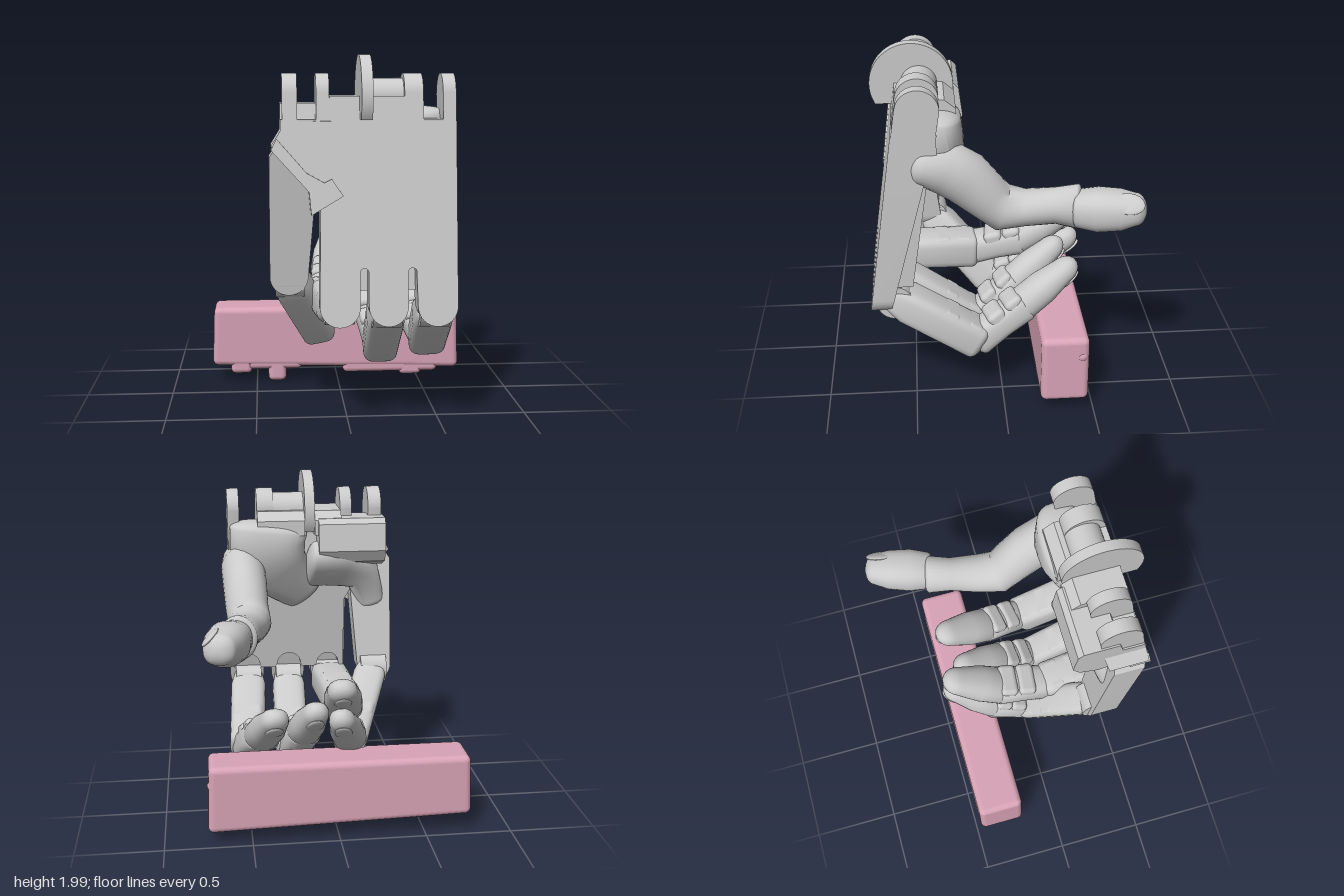
import * as THREE from 'three';
import { toCreasedNormals } from 'three/addons/utils/BufferGeometryUtils.js';
import { RoundedBoxGeometry } from 'three/addons/geometries/RoundedBoxGeometry.js';

const grey = new THREE.MeshStandardMaterial({ color: 0xcccccc });
const pink = new THREE.MeshStandardMaterial({ color: 0xd8a3b6 });
const V = (p) => new THREE.Vector3(p[0], p[1], p[2]);

export function createModel() {
  const model = new THREE.Group();
  const add = (name, geo, mat = grey, parent = model) => {
    const mesh = new THREE.Mesh(geo, mat);
    mesh.name = name;
    parent.add(mesh);
    return mesh;
  };

  // Side, normal and tangent directions for a limb running from a to b
  const frame = (a, b) => {
    const t = b.clone().sub(a).normalize();
    const s = new THREE.Vector3(1, 0, 0).addScaledVector(t, -t.x).normalize();
    return { s, n: t.clone().cross(s), t };
  };

  // Loft through stations [x, y, z, half width, half height] with domed ends
  function limb(stations, power = 2, dome0 = 0.05, dome1 = 0.05, sides = 28) {
    const rings = [];
    const last = stations.length - 1;
    const ring = (i, shift, scale) => {
      const f = frame(V(stations[Math.max(i - 1, 0)]), V(stations[Math.min(i + 1, last)]));
      rings.push({ c: V(stations[i]).addScaledVector(f.t, shift), f, w: stations[i][3] * scale, h: stations[i][4] * scale });
    };
    const steps = 6;
    for (let k = steps; k > 0; k--) ring(0, -dome0 * Math.sin(k * Math.PI / 2 / steps), Math.cos(k * Math.PI / 2 / steps) + 1e-4);
    for (let i = 0; i <= last; i++) ring(i, 0, 1);
    for (let k = 1; k <= steps; k++) ring(last, dome1 * Math.sin(k * Math.PI / 2 / steps), Math.cos(k * Math.PI / 2 / steps) + 1e-4);
    const pos = [], idx = [];
    const bend = (v) => Math.sign(v) * Math.abs(v) ** (2 / power);
    rings.forEach(({ c, f, w, h }, i) => {
      for (let j = 0; j < sides; j++) {
        const q = (j / sides) * Math.PI * 2;
        const p = c.clone().addScaledVector(f.s, w * bend(Math.cos(q))).addScaledVector(f.n, h * bend(Math.sin(q)));
        pos.push(p.x, p.y, p.z);
        if (i === rings.length - 1) continue;
        const a = i * sides + j, b = i * sides + (j + 1) % sides;
        idx.push(a, b, a + sides, b, b + sides, a + sides);
      }
    });
    const geo = new THREE.BufferGeometry();
    geo.setAttribute('position', new THREE.Float32BufferAttribute(pos, 3));
    geo.setIndex(idx);
    return toCreasedNormals(geo, 0.7);
  }

  // Front outline given depth between two z values that vary with height
  function slab(shape, front, back) {
    const geo = new THREE.ExtrudeGeometry(shape, { depth: 1, bevelEnabled: false, curveSegments: 16 });
    const p = geo.attributes.position;
    for (let i = 0; i < p.count; i++) {
      const y = p.getY(i);
      p.setZ(i, back(y) + p.getZ(i) * (front(y) - back(y)));
    }
    return toCreasedNormals(geo, 0.5);
  }

  // Side outline (z, y) extruded between two x values
  function sideways(shape, x0, x1) {
    const geo = new THREE.ExtrudeGeometry(shape, { depth: x1 - x0, bevelEnabled: false, curveSegments: 24 });
    geo.rotateY(-Math.PI / 2).translate(x1, 0, 0);
    return toCreasedNormals(geo, 0.5);
  }
  const poly = (pts) => new THREE.Shape(pts.map((p) => new THREE.Vector2(...p)));
  const axle = (r, x0, x1, y, z) =>
    new THREE.CylinderGeometry(r, r, x1 - x0, 32).rotateZ(Math.PI / 2).translate((x0 + x1) / 2, y, z);

  // Back plate with three knuckle lobes separated by slots
  const plate = new THREE.Shape();
  plate.moveTo(-0.16, 0.68);
  [[-0.16, 0.055], [0.1, 0.31], [0.36, 0.575]].forEach(([l, r], i) => {
    plate.absarc((l + r) / 2, 0.68, (r - l) / 2, Math.PI, Math.PI * 2, false);
    if (i < 2) plate.absarc(r + 0.0225, 0.86, 0.0225, Math.PI, 0, true);
  });
  [[0.575, 1.65], [-0.36, 1.65], [-0.36, 1.6], [-0.41, 1.52], [-0.15, 1.25]].forEach((p) => plate.lineTo(...p));
  const plateFront = (y) => 0.74 - (y - 0.57) * 0.142;
  add('backPlate', slab(plate, plateFront, (y) => plateFront(y) - 0.11 - (y - 0.57) * 0.12));

  // Palm pad behind the plate, arched over each finger root
  const palm = new THREE.Shape();
  palm.moveTo(-0.14, 0.75);
  [[-0.12, 0.035], [0.12, 0.29], [0.38, 0.555]].forEach(([l, r]) => {
    palm.lineTo(l, 0.75);
    palm.absarc((l + r) / 2, 0.77, (r - l) / 2 - 0.01, Math.PI, 0, true);
    palm.lineTo(r, 0.75);
  });
  [[0.56, 1.5], [-0.3, 1.5], [-0.14, 1.2]].forEach((p) => palm.lineTo(...p));
  add('palm', slab(palm, (y) => 0.62 - (y - 0.8) * 0.1, (y) => 0.49 - (y - 0.8) * 0.15));

  // Outer metacarpal with hinge strip and bracket
  const meta = new THREE.Shape();
  meta.moveTo(-0.42, 0.8);
  meta.absarc(-0.315, 0.8, 0.105, Math.PI, Math.PI * 2, false);
  [[-0.17, 1.3], [-0.38, 1.52], [-0.42, 1.46]].forEach((p) => meta.lineTo(...p));
  add('outerMetacarpal', slab(meta, (y) => 0.47 + (y - 0.7) * 0.15, (y) => 0.31 + (y - 0.7) * 0.13));
  add('hingeStrip', slab(poly([[-0.41, 1.5], [-0.2, 1.27], [-0.16, 1.31], [-0.38, 1.56]]),
    (y) => plateFront(y) + 0.008, () => 0.5));
  add('bracket', slab(poly([[-0.2, 1.16], [-0.03, 1.26], [-0.09, 1.35], [-0.13, 1.33], [-0.22, 1.38]]),
    (y) => plateFront(y) + 0.008, () => 0.52));

  // Wrist block on the outer half, lower core on the thumb half
  add('wristBlock', sideways(poly([[0.58, 1.5], [0.58, 1.66], [0.46, 1.66], [0.44, 1.74], [0.24, 1.74], [0.21, 1.71], [0.19, 1.55], [0.23, 1.48], [0.34, 1.44]]), -0.36, 0.04));
  add('wristCore', sideways(poly([[0.58, 1.5], [0.58, 1.66], [0.35, 1.66], [0.35, 1.45]]), 0.03, 0.575));
  [[-0.1, 0.06], [0.12, 0.4]].forEach(([a, b]) =>
    add('wristStep', sideways(poly([[0.585, 1.64], [0.565, 1.78], [0.3, 1.78], [0.24, 1.73], [0.24, 1.64]]), a, b)));
  const lug = new THREE.Shape();
  lug.moveTo(0.36, 1.6);
  lug.lineTo(0.59, 1.6);
  lug.lineTo(0.56, 1.8);
  lug.absarc(0.445, 1.785, 0.115, 0.1, Math.PI, false);
  [[-0.35, -0.27], [-0.17, -0.1], [0.3, 0.4], [0.505, 0.575]].forEach(([a, b]) => add('wristLug', sideways(lug, a, b)));
  const disc = new THREE.Shape();
  disc.absarc(0.472, 1.772, 0.228, -0.51, Math.PI + 0.51, false);
  add('wristDisc', sideways(disc, 0.06, 0.12));
  add('wristHub', axle(0.1, 0.12, 0.3, 1.775, 0.43));

  // Smooth cuff on the thumb side running down into the palm, and the outer web
  add('thumbCuff', limb([[0.33, 1.66, 0.35, 0.235, 0.14], [0.34, 1.56, 0.35, 0.235, 0.155], [0.28, 1.42, 0.38, 0.2, 0.12],
    [0.12, 1.25, 0.44, 0.13, 0.05]], 2.6, 0.06));
  add('outerWeb', limb([[0.06, 1.45, 0.34, 0.17, 0.1], [-0.12, 1.44, 0.35, 0.15, 0.1], [-0.25, 1.36, 0.4, 0.11, 0.08],
    [-0.3, 1.2, 0.42, 0.09, 0.06]], 2.6));

  // Nail lying on a limb surface
  function nail(parent, at, s, n, w, len) {
    const m = add('nail', new THREE.SphereGeometry(1, 20, 12).scale(w, 0.016, len), grey, parent);
    m.applyMatrix4(new THREE.Matrix4().makeBasis(s, n, s.clone().cross(n)).setPosition(at));
  }

  // Fingers: width factor, then knuckle, middle joint, end joint, tip
  const fingers = {
    indexFinger: [1.1, [0.46, 0.64, 0.6], [0.495, 0.36, 0.14], [0.42, 0.53, -0.12], [0.345, 0.75, -0.42]],
    middleFinger: [1.03, [0.205, 0.64, 0.6], [0.22, 0.32, 0.14], [0.17, 0.54, -0.1], [0.11, 0.76, -0.36]],
    ringFinger: [1.15, [-0.05, 0.66, 0.6], [-0.09, 0.635, 0.14], [-0.06, 0.71, -0.15], [-0.01, 0.92, -0.46]],
    littleFinger: [1, [-0.31, 0.77, 0.38], [-0.13, 0.4, 0.03], [-0.09, 0.53, -0.2], [0, 0.75, -0.46]],
  };
  for (const [name, [wide, ...joints]] of Object.entries(fingers)) {
    const group = new THREE.Group();
    group.name = name;
    model.add(group);
    const [k, p, m, t] = joints.map(V);
    const seg = (a, b, u, w, h) => [...a.clone().lerp(b, u).toArray(), w * wide, h];
    add('proximalSegment', limb([seg(k, p, 0, 0.085, 0.08), seg(k, p, 0.15, 0.1, 0.1), seg(k, p, 0.98, 0.097, 0.105)], 4, 0.05, 0.06), grey, group);
    add('middleSegment', limb([seg(p, m, 0, 0.085, 0.095), seg(p, m, 0.5, 0.09, 0.085), seg(p, m, 1, 0.098, 0.092)], 3, 0.05, 0.03), grey, group);
    add('fingertip', limb([seg(m, t, 0, 0.098, 0.092), seg(m, t, 0.4, 0.095, 0.09), seg(m, t, 0.78, 0.075, 0.068)], 2.3, 0.04, 0.1), grey, group);
    add('knuckle', axle(0.1, k.x - 0.08, k.x + 0.08, k.y, k.z), grey, group);
    // Pads on the inner side
    [[k, p, 0.6], [k, p, 0.88], [p, m, 0.5], [p, m, 0.88]].forEach(([a, b, u]) => {
      const f = frame(a, b);
      const pad = add('pad', new RoundedBoxGeometry(0.17 * wide, 0.08, 0.11, 2, 0.03), grey, group);
      pad.applyMatrix4(new THREE.Matrix4().makeBasis(f.s, f.n, f.t)
        .setPosition(a.clone().lerp(b, u).addScaledVector(f.n, -0.063)));
    });
    const f = frame(m, t);
    nail(group, m.clone().lerp(t, 0.74).addScaledVector(f.n, 0.066), f.s, f.n, 0.05, 0.085);
  }

  // Thumb
  const thumb = new THREE.Group();
  thumb.name = 'thumb';
  model.add(thumb);
  add('thumbBase', limb([[0.49, 1.46, 0.42, 0.12, 0.12], [0.49, 1.44, 0.31, 0.13, 0.15], [0.485, 1.37, 0.2, 0.13, 0.15],
    [0.48, 1.25, 0.08, 0.125, 0.13], [0.47, 1.18, 0, 0.125, 0.132], [0.49, 1.185, -0.12, 0.115, 0.1],
    [0.52, 1.205, -0.28, 0.097, 0.1], [0.55, 1.21, -0.4, 0.105, 0.125]], 2, 0.09, 0.03), grey, thumb);
  add('thumbTip', limb([[0.575, 1.21, -0.4, 0.105, 0.1], [0.605, 1.215, -0.5, 0.118, 0.118], [0.637, 1.225, -0.62, 0.11, 0.108],
    [0.657, 1.235, -0.69, 0.09, 0.085]], 2.4, 0.03, 0.062), grey, thumb);
  const nailN = V([0.7, 0.7, 0.1]).normalize();
  const nailS = V([0.28, 0, -0.96]).cross(nailN).normalize().negate();
  nail(thumb, V([0.705, 1.29, -0.645]), nailS, nailN, 0.06, 0.085);

  // Uneven bar resting below the fingers
  const bar = new THREE.Group();
  bar.name = 'bar';
  model.add(bar);
  const barGeo = new RoundedBoxGeometry(1.5, 0.38, 0.27, 5, 0.035);
  const bp = barGeo.attributes.position;
  for (let i = 0; i < bp.count; i++) {
    const x = bp.getX(i), low = bp.getY(i) < 0;
    bp.setXYZ(i, x + (low ? Math.sign(x) * 0.01 : 0), bp.getY(i) - (low ? x * 0.025 : 0), bp.getZ(i));
  }
  barGeo.computeVertexNormals();
  add('barBody', barGeo.translate(-0.01, 0.285, -0.335), pink, bar);
  // Lumps along the lower front edge: x0, x1, bottom
  [[-0.66, -0.53, 0.06], [-0.56, -0.22, 0.085], [-0.43, -0.32, 0.01], [0.03, 0.62, 0.055], [0.38, 0.52, 0.035]].forEach(([x0, x1, y]) =>
    add('lump', new RoundedBoxGeometry(x1 - x0, 0.18 - y, 0.07, 4, 0.03).translate((x0 + x1) / 2, (y + 0.18) / 2, -0.24), pink, bar));
  add('endKnob', new THREE.SphereGeometry(0.035, 16, 12).translate(0.715, 0.36, -0.43), pink, bar);
  return model;
}
